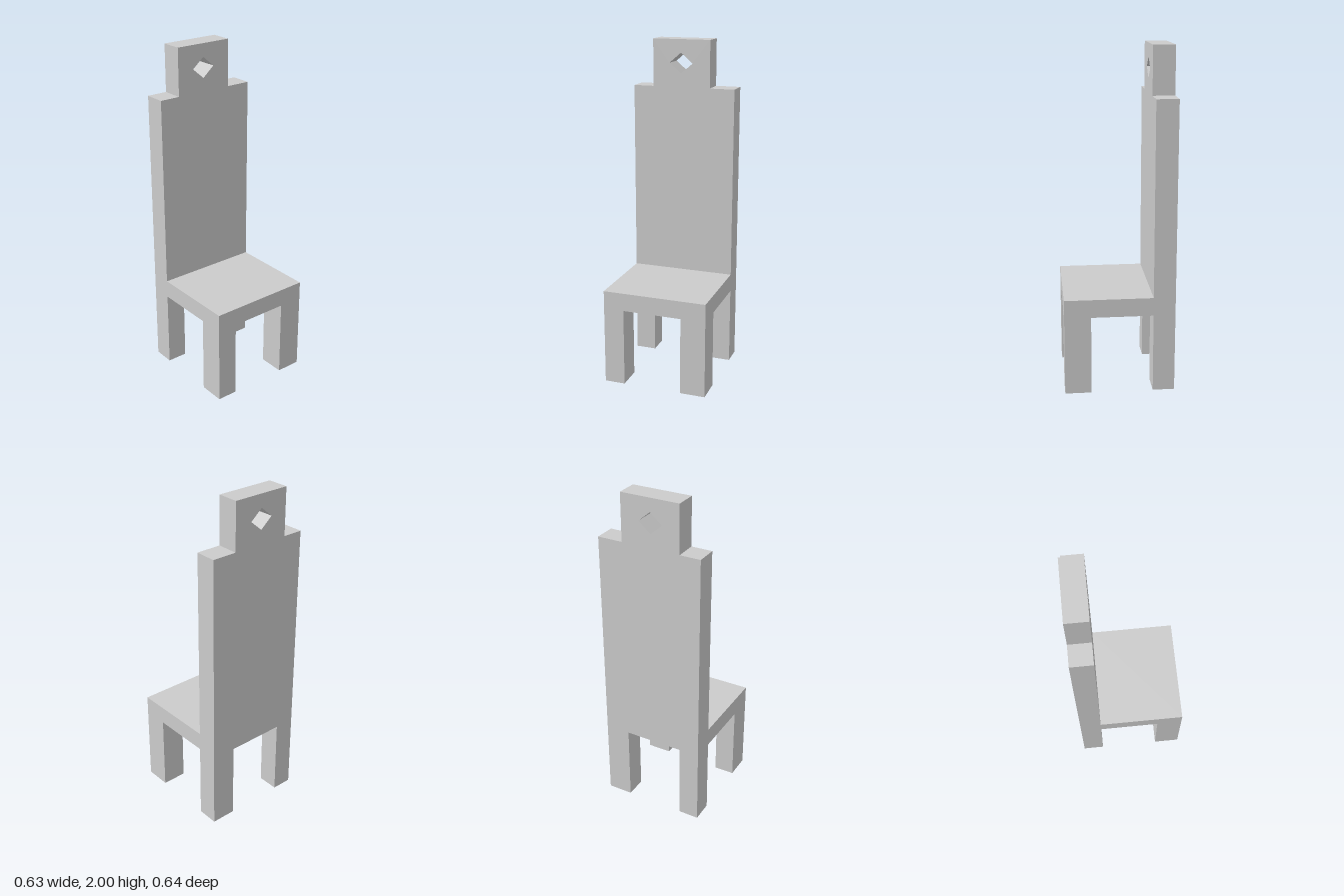
import * as THREE from 'three';

const HALF_W = 0.313;              // half width of the chair
const IN_L = 0.163, IN_R = -0.19;  // inner edges of the legs, also the crest sides
const FRONT = 0.322, BACK = -0.323, BACK_FACE = -0.195;
const SEAT_TOP = 0.578, SEAT_BOTTOM = 0.47, SHOULDER = 1.72, TOP = 2;

const material = new THREE.MeshStandardMaterial({ color: 0xcccccc, flatShading: true });
const points = (list) => list.map(([x, y]) => new THREE.Vector2(x, y));

function addMesh(group, name, geometry) {
  const mesh = new THREE.Mesh(geometry, material);
  mesh.name = name;
  group.add(mesh);
  return mesh;
}

// Box given by its limits on each axis
function addBlock(group, name, [x0, x1], [y0, y1], [z0, z1]) {
  const mesh = addMesh(group, name, new THREE.BoxGeometry(x1 - x0, y1 - y0, z1 - z0));
  mesh.position.set((x0 + x1) / 2, (y0 + y1) / 2, (z0 + z1) / 2);
}

export function createModel() {
  const chair = new THREE.Group();
  chair.name = 'chair';

  // Backrest in one board: rear legs, shoulders and crest with a diamond hole
  const outline = new THREE.Shape(points([
    [-HALF_W, 0], [IN_R, 0], [IN_R, SEAT_BOTTOM], [IN_L, SEAT_BOTTOM], [IN_L, 0], [HALF_W, 0],
    [HALF_W, SHOULDER], [IN_L, SHOULDER], [IN_L, TOP], [IN_R, TOP], [IN_R, SHOULDER], [-HALF_W, SHOULDER],
  ]));
  outline.holes.push(new THREE.Path(points([
    [-0.016, 1.8], [-0.088, 1.861], [-0.016, 1.922], [0.056, 1.861],
  ])));
  const board = new THREE.ExtrudeGeometry(outline, { depth: BACK_FACE - BACK, bevelEnabled: false });
  addMesh(chair, 'backrestWithRearLegs', board).position.z = BACK;

  // Seat
  addBlock(chair, 'seat', [-HALF_W, HALF_W], [SEAT_BOTTOM, SEAT_TOP], [BACK_FACE, FRONT]);

  // Front legs
  addBlock(chair, 'frontLegLeft', [IN_L, HALF_W], [0, SEAT_BOTTOM], [0.167, FRONT]);
  addBlock(chair, 'frontLegRight', [-HALF_W, IN_R], [0, SEAT_BOTTOM], [0.167, FRONT]);

  return chair;
}
